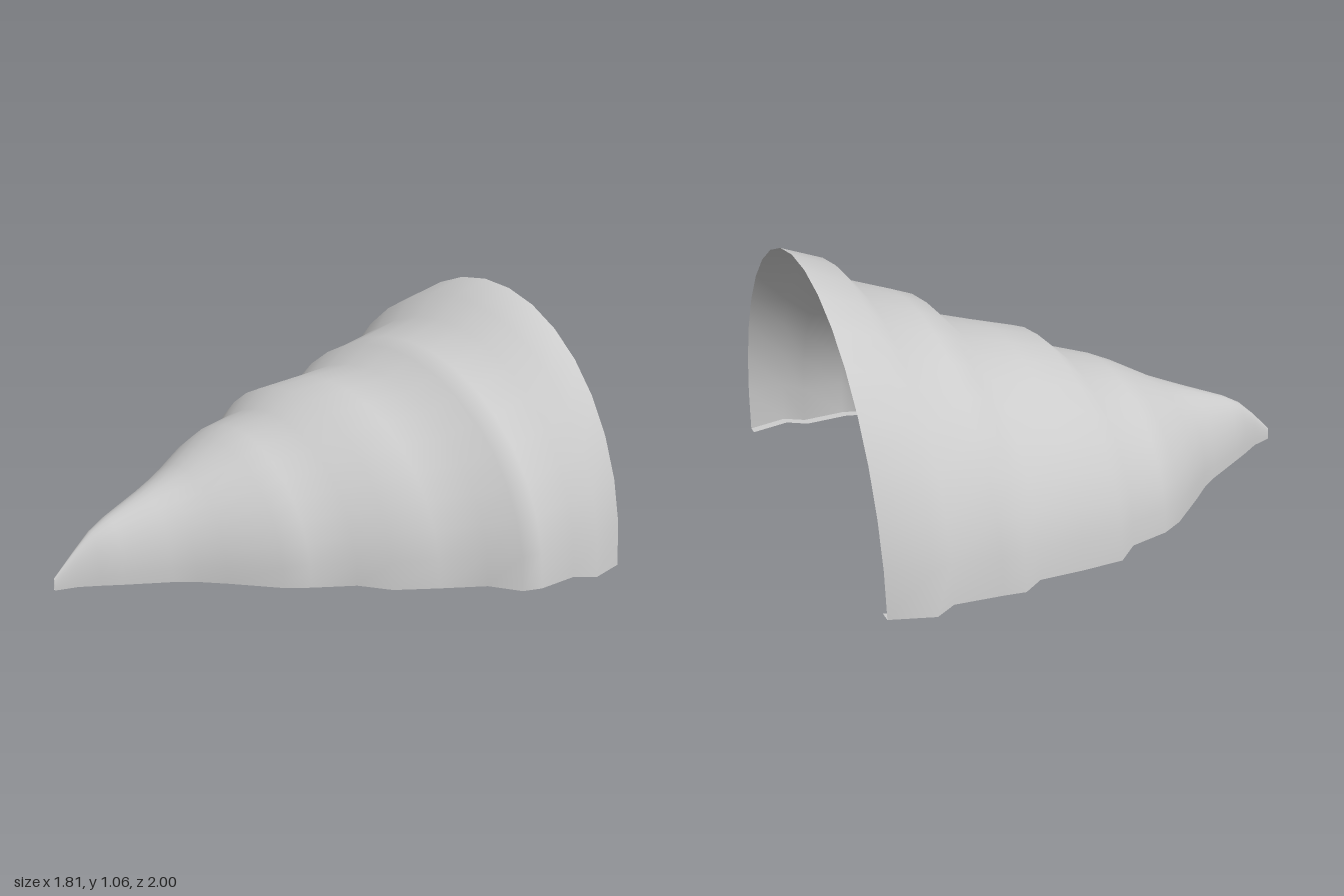
import * as THREE from 'three';

// Half-elliptical cross-sections from back to tip: z, min x, max x, height
const SECTIONS = [
  [-1, -0.845, 0.87, 1.056], [-0.84, -0.905, 0.905, 0.995], [-0.76, -0.86, 0.85, 0.9],
  [-0.58, -0.885, 0.855, 0.834], [-0.5, -0.9, 0.83, 0.807], [-0.42, -0.85, 0.715, 0.722],
  [-0.25, -0.862, 0.62, 0.683], [-0.09, -0.865, 0.525, 0.65], [0, -0.79, 0.41, 0.567],
  [0.16, -0.76, 0.32, 0.52], [0.25, -0.715, 0.26, 0.48], [0.41, -0.59, 0.095, 0.395],
  [0.5, -0.515, 0.01, 0.358], [0.58, -0.463, -0.045, 0.325], [0.75, -0.373, -0.135, 0.255],
  [0.83, -0.33, -0.18, 0.21], [0.91, -0.283, -0.222, 0.14], [1, -0.255, -0.245, 0.05],
];

// Smooth surface through rows of points
function loft(rows) {
  const n = rows[0].length;
  const index = [];
  for (let i = 0; i < rows.length - 1; i++) {
    for (let j = 0; j < n - 1; j++) {
      const a = i * n + j, c = a + n;
      index.push(a, a + 1, c, a + 1, c + 1, c);
    }
  }
  const geometry = new THREE.BufferGeometry();
  geometry.setAttribute('position', new THREE.Float32BufferAttribute(rows.flat(2), 3));
  geometry.setIndex(index);
  geometry.computeVertexNormals();
  return geometry;
}

export function createModel() {
  const group = new THREE.Group();
  group.name = 'spiralShell';
  const shellGrey = new THREE.MeshStandardMaterial({ color: 0xcccccc, side: THREE.DoubleSide });
  shellGrey.name = 'shell grey';

  const add = (name, rows) => {
    const mesh = new THREE.Mesh(loft(rows), shellGrey);
    mesh.name = name;
    group.add(mesh);
  };

  // Ridged arched wall, open underneath and at the back
  const steps = 18;
  add('shellWall', SECTIONS.map(([z, x0, x1, h]) =>
    Array.from({ length: steps + 1 }, (_, j) => {
      const t = (j / steps) * Math.PI;
      return [(x0 + x1) / 2 + ((x1 - x0) / 2) * Math.cos(t), h * Math.sin(t), z];
    })));

  // Narrow lip turned inward along each bottom edge
  const lip = (x0, x1) => Math.min(0.045, (x1 - x0) * 0.4);
  add('leftLip', SECTIONS.map(([z, x0, x1]) => [[x1 - lip(x0, x1), 0, z], [x1, 0, z]]));
  add('rightLip', SECTIONS.map(([z, x0, x1]) => [[x0, 0, z], [x0 + lip(x0, x1), 0, z]]));

  return group;
}
